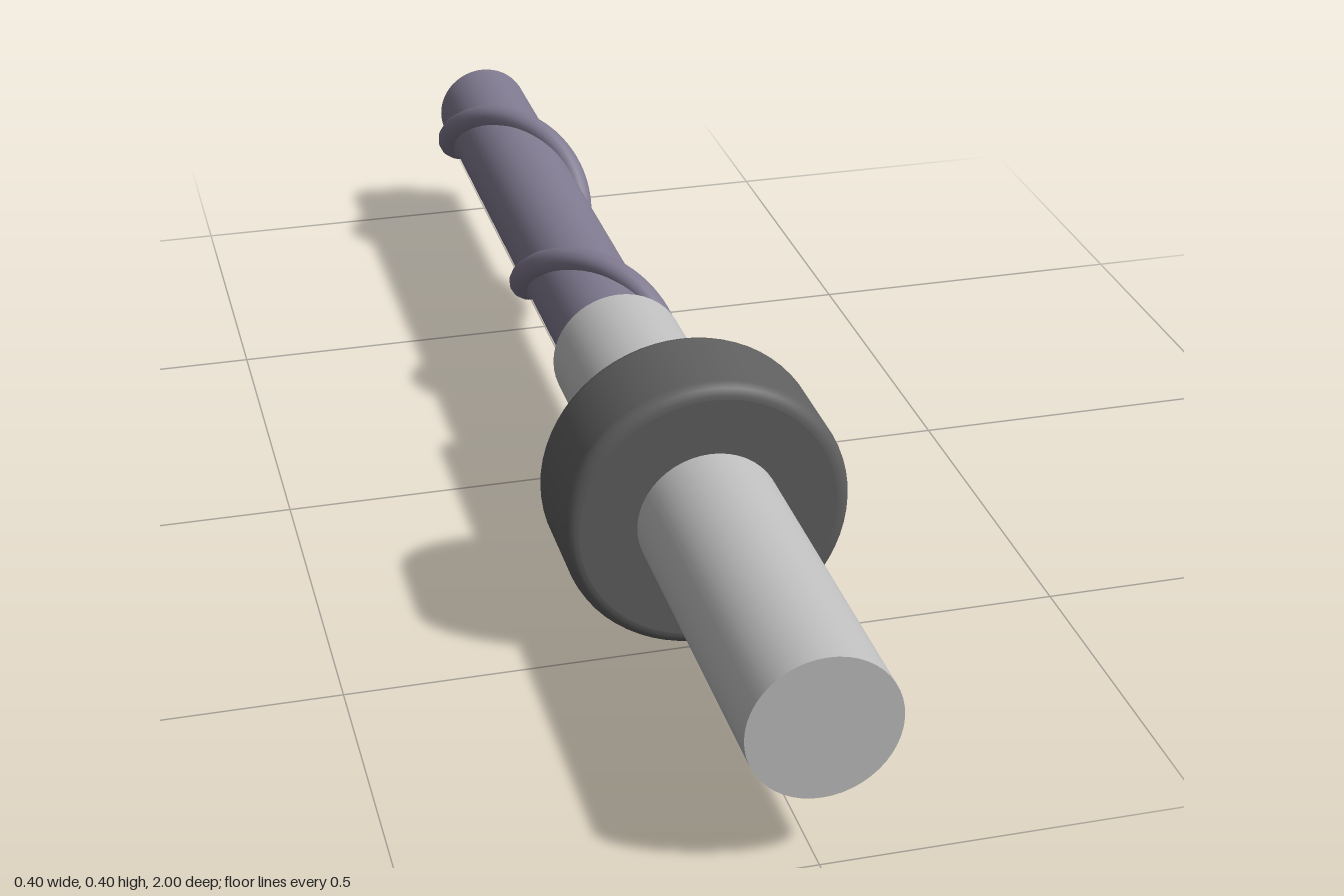
import * as THREE from 'three';

const AXIS_Y = 0.199;   // height of the long axis
const JOINT_Z = 0.007;  // where handle and shaft meet

const mat = (name, color, extra = {}) => {
  const m = new THREE.MeshStandardMaterial({ color, ...extra });
  m.name = name;
  return m;
};

// Helix winding round the shaft, from the joint to the tip
class Helix extends THREE.Curve {
  getPoint(t, target = new THREE.Vector3()) {
    const a = t * 10.5;
    return target.set(0.0795 * Math.cos(a), 0.0795 * Math.sin(a), JOINT_Z - 0.994 * t);
  }
}

export function createModel() {
  const silver = mat('lightGrey', 0xc0c0c0);
  const dark = mat('darkGrey', 0x606061);
  const violet = mat('violetGrey', 0x807a90, { side: THREE.DoubleSide });

  const group = new THREE.Group();
  group.name = 'spiralTool';
  const add = (name, geometry, material) => {
    const mesh = new THREE.Mesh(geometry, material);
    mesh.name = name;
    mesh.position.y = AXIS_Y;
    group.add(mesh);
  };

  // Cylinder lying along z between two depths
  const rod = (r, z0, z1) =>
    new THREE.CylinderGeometry(r, r, z1 - z0, 48).rotateX(Math.PI / 2).translate(0, 0, (z0 + z1) / 2);

  add('handle', rod(0.0993, JOINT_Z, 1), silver);
  add('shaft', rod(0.077, -0.987, JOINT_Z), violet);
  add('spiralRidge', new THREE.TubeGeometry(new Helix(), 128, 0.02, 12, false), violet);

  // Collar with rounded rims; flat sides are kept as separate discs
  const R = 0.1987, half = 0.08, b = 0.02;
  const profile = [];
  for (const [side, start] of [[-1, -Math.PI / 2], [1, 0]]) {
    for (let i = 0; i <= 6; i++) {
      const a = start + (i / 6) * (Math.PI / 2);
      profile.push(new THREE.Vector2(R - b + b * Math.cos(a), side * (half - b) + b * Math.sin(a)));
    }
  }
  const collarZ = 0.422;
  add('collarRim', new THREE.LatheGeometry(profile, 64).rotateX(Math.PI / 2).translate(0, 0, collarZ), dark);
  const disc = () => new THREE.RingGeometry(0.097, R - b, 64);
  add('collarFront', disc().translate(0, 0, collarZ + half), dark);
  add('collarBack', disc().rotateY(Math.PI).translate(0, 0, collarZ - half), dark);

  return group;
}
